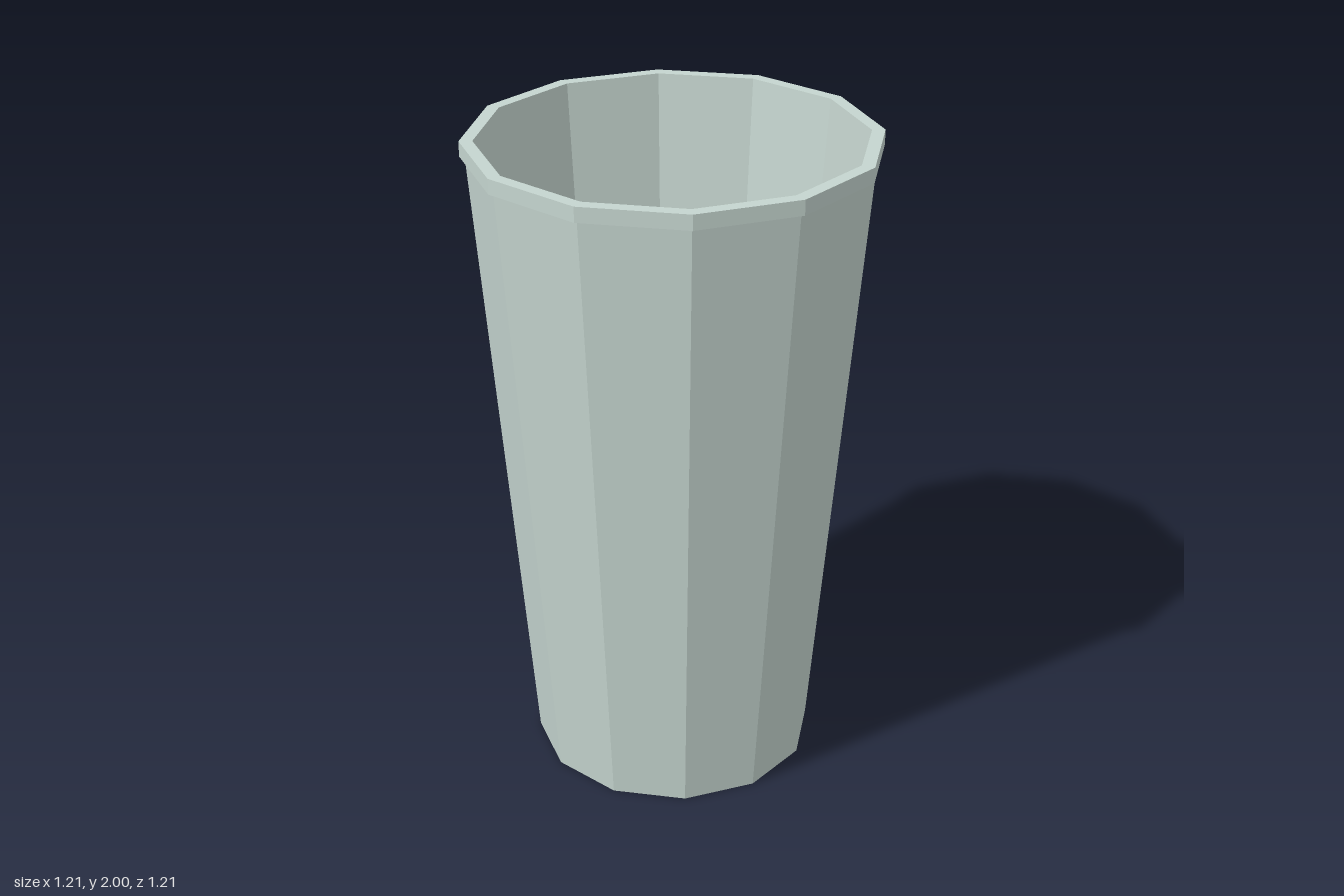
import * as THREE from 'three';

const SIDES = 12;

// Faceted solid of revolution; profile rises on the outside, falls on the inside
function facetedLathe(name, profile, material) {
  const points = profile.map(([r, y]) => new THREE.Vector2(r, y));
  const geometry = new THREE.LatheGeometry(points, SIDES).toNonIndexed();
  geometry.computeVertexNormals();
  const mesh = new THREE.Mesh(geometry, material);
  mesh.name = name;
  return mesh;
}

export function createModel() {
  const group = new THREE.Group();
  group.name = 'cup';
  const glass = new THREE.MeshStandardMaterial({ color: 0xc5d5cf, flatShading: true });
  glass.name = 'pale grey green';

  // Tapered outer wall with closed underside
  group.add(facetedLathe('outerWall', [[0, 0], [0.435, 0], [0.59, 1.955]], glass));

  // Projecting lip: underside, outer band and flat top
  group.add(facetedLathe('rim', [[0.59, 1.955], [0.605, 1.955], [0.605, 2], [0.566, 2]], glass));

  // Hollow inside and its floor
  group.add(facetedLathe('innerWall', [[0.566, 2], [0.407, 0.04]], glass));
  group.add(facetedLathe('innerFloor', [[0.407, 0.04], [0, 0.04]], glass));

  return group;
}
